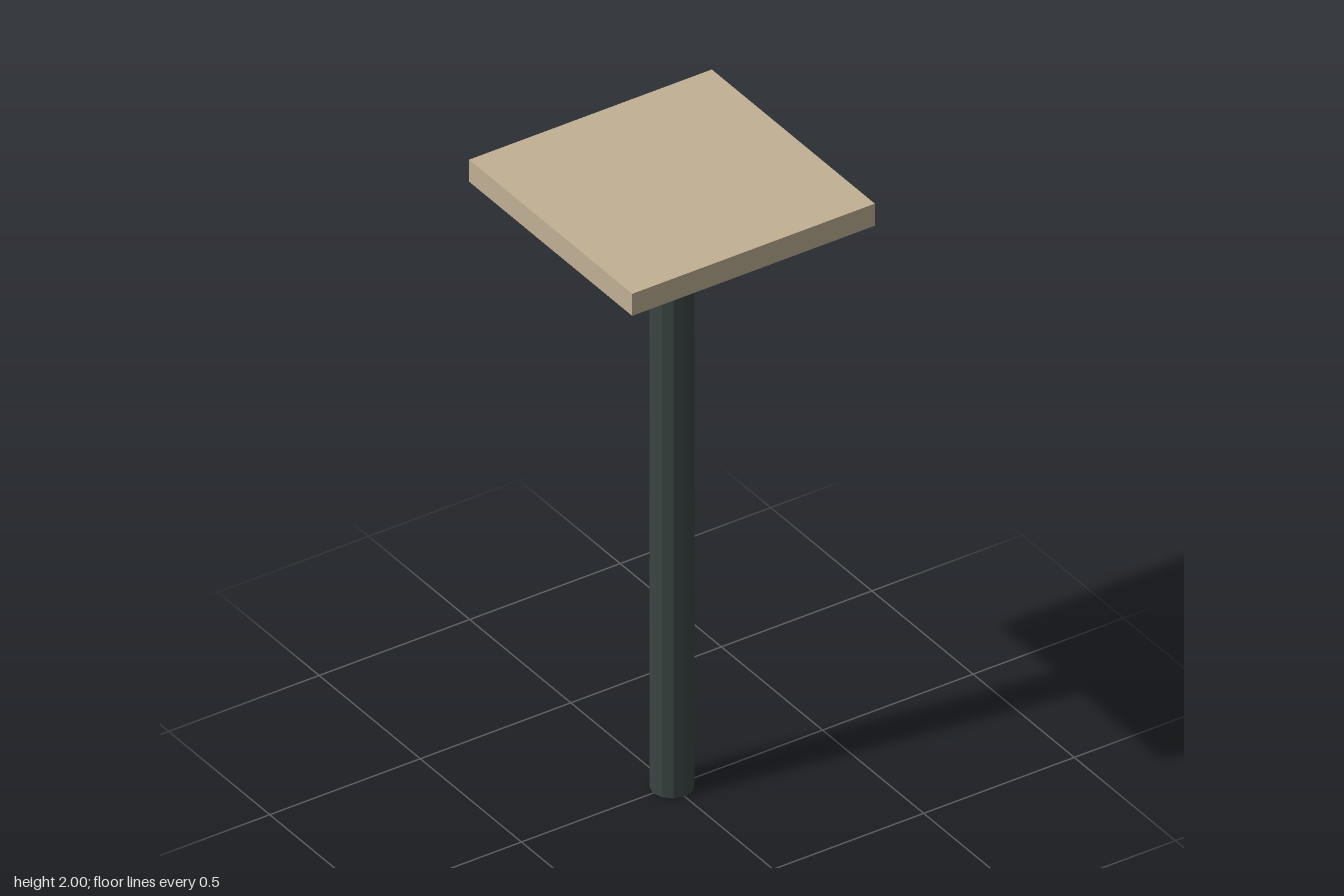
import * as THREE from 'three';

export function createModel() {
  const model = new THREE.Group();
  const sand = new THREE.MeshStandardMaterial({ color: 0xc0b094 });
  sand.name = 'sand';
  const darkSlate = new THREE.MeshStandardMaterial({ color: 0x3a4543, flatShading: true });
  darkSlate.name = 'dark slate';

  const topHeight = 0.073;
  const postHeight = 2 - topHeight;

  // Square slab on top
  const top = new THREE.Mesh(new THREE.BoxGeometry(0.806, topHeight, 0.806), sand);
  top.name = 'top';
  top.position.y = 2 - topHeight / 2;

  // Twelve-sided post from the ground to the slab
  const post = new THREE.Mesh(new THREE.CylinderGeometry(0.0625, 0.0625, postHeight, 12), darkSlate);
  post.name = 'post';
  post.position.y = postHeight / 2;

  model.add(top, post);
  return model;
}
